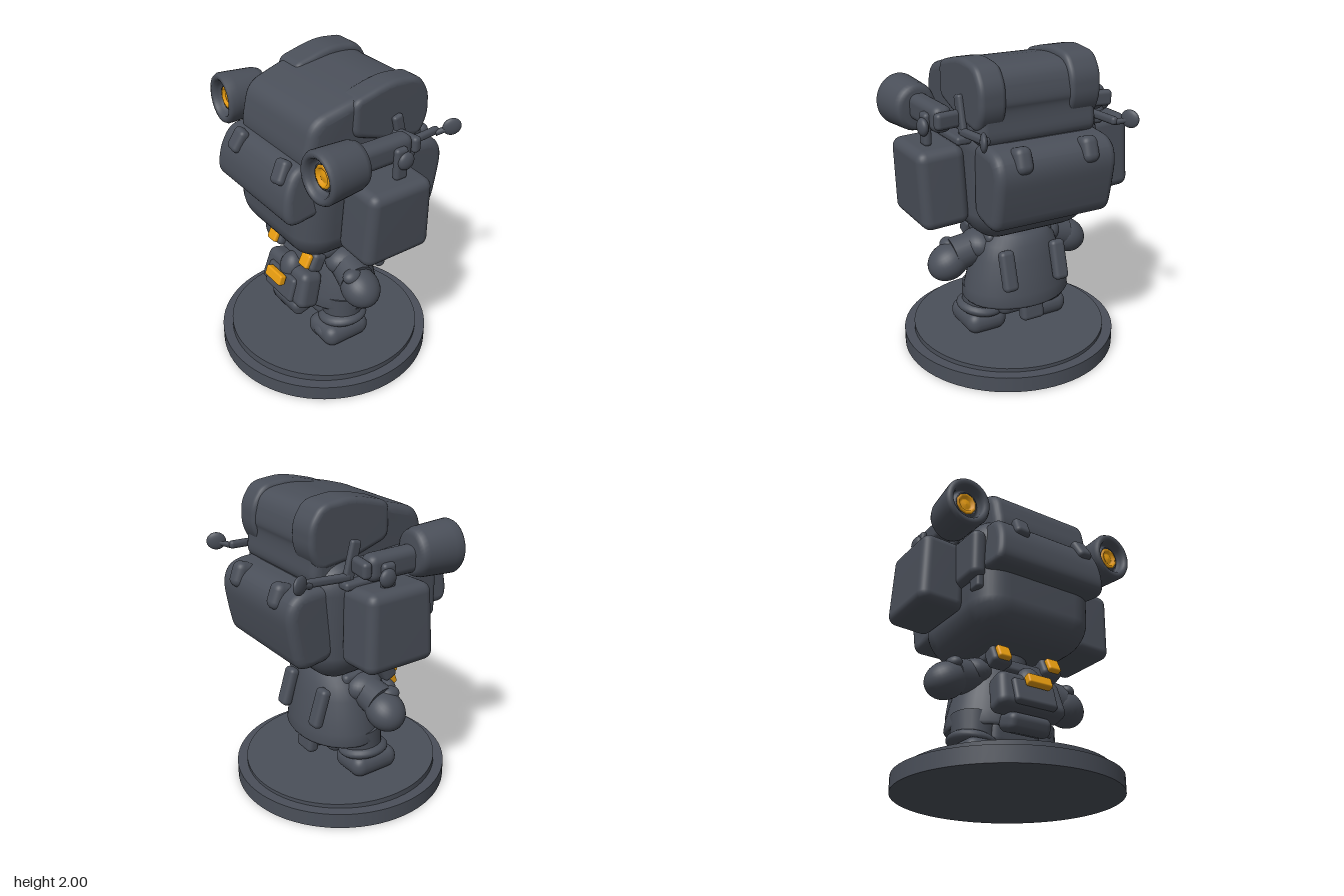
import * as THREE from 'three';
import { mergeVertices } from 'three/addons/utils/BufferGeometryUtils.js';
import { RoundedBoxGeometry } from 'three/addons/geometries/RoundedBoxGeometry.js';

export function createModel() {
  const model = new THREE.Group();
  model.name = 'figurine';
  const slate = new THREE.MeshStandardMaterial({ color: 0x4a4f59 });
  slate.name = 'slate grey';
  const amber = new THREE.MeshStandardMaterial({ color: 0xeda010 });
  amber.name = 'amber';

  function add(name, geo, pos = [0, 0, 0], rot = [0, 0, 0], mat = slate) {
    const mesh = new THREE.Mesh(geo, mat);
    mesh.name = name;
    mesh.position.set(...pos);
    mesh.rotation.set(...rot);
    model.add(mesh);
    return mesh;
  }
  // Welds a geometry, optionally bends it by a rule, and smooths it
  function smooth(geo, rule) {
    geo.deleteAttribute('uv');
    geo.deleteAttribute('normal');
    const g = mergeVertices(geo, 1e-4);
    const p = g.attributes.position, v = new THREE.Vector3();
    for (let i = 0; rule && i < p.count; i++) {
      rule(v.fromBufferAttribute(p, i));
      p.setXYZ(i, v.x, v.y, v.z);
    }
    g.computeVertexNormals();
    return g;
  }
  // Soft box
  const box = (name, size, r, pos, rot, mat, rule) =>
    add(name, smooth(new RoundedBoxGeometry(...size, 4, r), rule), pos, rot, mat);
  // Soft slab: a side outline of [z, y] points, widened along x
  function slab(name, pts, width, r, x, rule) {
    const shape = new THREE.Shape();
    pts.forEach((q, i) => {
      const c = new THREE.Vector2(...q);
      const toward = (k) => {
        const d = new THREE.Vector2(...pts[(i + k + pts.length) % pts.length]).sub(c);
        return d.setLength(Math.min(r, d.length() * 0.48)).add(c);
      };
      const a = toward(-1), b = toward(1);
      if (i) shape.lineTo(a.x, a.y); else shape.moveTo(a.x, a.y);
      shape.quadraticCurveTo(c.x, c.y, b.x, b.y);
    });
    const bevel = r * 0.6;
    const geo = new THREE.ExtrudeGeometry(shape, {
      depth: width - 2 * bevel, bevelThickness: bevel, bevelSize: bevel,
      bevelOffset: -bevel, bevelSegments: 5, curveSegments: 6,
    });
    geo.translate(0, 0, bevel - width / 2).rotateY(-Math.PI / 2);
    return add(name, smooth(geo, rule), [x, 0, 0]);
  }
  // Tapered rod from a to b
  function rod(name, a, b, r1, r2) {
    const A = new THREE.Vector3(...a), B = new THREE.Vector3(...b), d = B.clone().sub(A);
    const m = add(name, new THREE.CylinderGeometry(r2, r1, d.length(), 20), A.clone().add(B).multiplyScalar(0.5).toArray());
    m.quaternion.setFromUnitVectors(new THREE.Vector3(0, 1, 0), d.normalize());
    return m;
  }
  function ball(name, size, pos, rot) {
    const m = add(name, new THREE.SphereGeometry(1, 28, 18), pos, rot);
    m.scale.set(...size);
    return m;
  }
  const lathe = (pts, n = 40) => new THREE.LatheGeometry(pts.map((p) => new THREE.Vector2(...p)), n);

  // Stand
  add('standBase', new THREE.CylinderGeometry(0.7, 0.7, 0.1, 72), [0, 0.05, 0]);
  add('standTop', new THREE.CylinderGeometry(0.635, 0.635, 0.1, 72), [0, 0.086, 0], [-0.02, 0, 0]);

  // Legs and boots
  for (const [x, s] of [[-0.25, -1], [0.21, 1]]) {
    box('boot', [0.28, 0.15, 0.34], 0.07, [x, 0.2, 0.03]);
    ball('bootToe', [0.135, 0.07, 0.13], [x, 0.205, 0.08]);
    ball('trouserCuff', [0.155, 0.06, 0.165], [x + s * 0.005, 0.285, 0], [0, 0, s * 0.15]);
    rod('leg', [x, 0.26, 0], [x - s * 0.02, 0.44, -0.02], 0.125, 0.15);
  }
  box('pelvis', [0.36, 0.18, 0.34], 0.06, [-0.02, 0.34, -0.03]);
  box('coatTail', [0.16, 0.14, 0.08], 0.03, [-0.02, 0.32, -0.27], [0.15, 0, 0]);

  // Coat and neck
  const coat = add('coat', lathe([[0, 0.4], [0.32, 0.38], [0.35, 0.37], [0.365, 0.39], [0.355, 0.46],
    [0.33, 0.56], [0.295, 0.67], [0.26, 0.76], [0.21, 0.82], [0.13, 0.85], [0, 0.86]]), [-0.015, 0, -0.07]);
  coat.scale.z = 0.76;
  rod('neck', [-0.01, 0.78, -0.03], [-0.01, 0.95, -0.03], 0.15, 0.14);

  // Chest harness
  box('chestBand', [0.3, 0.09, 0.06], 0.025, [-0.015, 0.74, 0.19], [-0.35, 0, 0]);
  for (const x of [-0.2, 0.165]) {
    box('strapLoop', [0.14, 0.13, 0.1], 0.03, [x, 0.775, 0.2], [-0.45, 0, 0]);
    box('strapBuckle', [0.09, 0.095, 0.05], 0.015, [x, 0.79, 0.25], [-0.45, 0, 0], amber);
    box('shoulderStrap', [0.11, 0.07, 0.34], 0.03, [x, 0.8, 0.03], [-0.05, 0, 0]);
    box('backStrap', [0.1, 0.26, 0.07], 0.03, [x, 0.64, -0.3], [0.3, 0, 0]);
  }

  // Front pouch
  box('pouch', [0.46, 0.25, 0.16], 0.05, [-0.025, 0.545, 0.235], [-0.28, 0, 0], slate,
    (v) => { v.x *= 1 - 0.5 * v.y; });
  box('pouchPanel', [0.3, 0.17, 0.06], 0.025, [-0.025, 0.54, 0.315], [-0.28, 0, 0]);
  ball('pouchFlap', [0.08, 0.1, 0.07], [-0.015, 0.64, 0.25], [-0.28, 0, 0]);
  box('pouchBuckle', [0.17, 0.07, 0.05], 0.012, [-0.025, 0.605, 0.365], [-0.35, 0, 0], amber);
  box('lowerPocket', [0.3, 0.12, 0.16], 0.045, [-0.03, 0.375, 0.23], [0.3, 0, 0]);

  // Arms and mittens
  for (const s of [-1, 1]) {
    ball('shoulder', [0.11, 0.095, 0.13], [s * 0.24 - 0.015, 0.73, 0]);
    rod('sleeve', [s * 0.22 - 0.015, 0.72, 0], [s * 0.4 - 0.015, 0.67, 0.02], 0.1, 0.115);
    ball('mitten', [0.14, 0.115, 0.125], [s * 0.44 - 0.015, 0.635, 0.02], [0, 0, s * -0.5]);
    ball('thumb', [0.05, 0.045, 0.065], [s * 0.42 - 0.015, 0.73, 0.07], [0, 0, s * -0.4]);
  }

  // Head
  box('head', [0.89, 0.8, 0.85], 0.2, [-0.01, 1.27, -0.005], [-0.03, 0, 0], slate, (v) => {
    const k = Math.max(0, -v.y - 0.1);
    v.x *= 1 - 0.4 * k;
    v.z *= 1 - 0.25 * k;
  });
  slab('browPocket', [[0.2, 1.28], [0.49, 1.235], [0.535, 1.3], [0.515, 1.46], [0.44, 1.59], [0.2, 1.6]],
    0.8, 0.07, -0.01, (v) => { v.x *= 1 - 0.25 * (v.y - 1.3); });
  box('browSide', [0.1, 0.32, 0.5], 0.045, [-0.44, 1.36, 0.12]);
  box('cheekStrap', [0.05, 0.3, 0.1], 0.02, [-0.425, 1.28, 0.3]);
  for (const x of [-0.22, 0.25]) {
    box('browClip', [0.105, 0.15, 0.07], 0.03, [x, 1.54, 0.47], [-0.5, 0, x * 0.6]);
  }

  // Hat with two raised side flaps
  slab('hat', [[0.36, 1.52], [0.4, 1.6], [0.34, 1.85], [0.08, 1.925], [-0.2, 1.965], [-0.4, 1.94],
    [-0.45, 1.76], [-0.425, 1.7], [-0.45, 1.5]], 0.78, 0.09, 0.025, (v) => {
    v.x *= 1 - 0.22 * Math.max(0, v.z);
  });
  for (const [x, w, dy] of [[-0.265, 0.21, 0], [0.34, 0.17, -0.015]]) {
    slab('hatFlap', [[0.09, 1.72], [0.09, 1.935], [-0.1, 1.985], [-0.2, 2.0], [-0.38, 1.98], [-0.455, 1.87],
      [-0.46, 1.72], [-0.4, 1.6], [-0.15, 1.64]], w, 0.055, x).position.y = dy;
  }
  box('flapSlit', [0.14, 0.13, 0.022], 0.008, [0.342, 1.902, -0.11], [-0.3, 0, -0.05], amber);

  // Back pack
  slab('backPack', [[-0.3, 1.06], [-0.56, 1.02], [-0.6, 1.2], [-0.63, 1.4], [-0.56, 1.51], [-0.3, 1.53]],
    0.8, 0.09, 0.005);
  for (const x of [-0.21, 0.23]) {
    box('backPackClip', [0.11, 0.16, 0.14], 0.045, [x, 1.45, -0.56], [0.35, 0, 0]);
  }

  // Side packs
  for (const [x, y, z] of [[-0.565, 1.29, -0.07], [0.56, 1.24, -0.045]]) {
    box('sidePack', [0.3, 0.48, 0.46], 0.06, [x, y, z], [0, 0, -0.045], slate,
      (v) => { v.z *= 1 - 0.2 * v.y; });
  }

  // Headlamps, their brackets and rear paddles
  const lampProfile = [[0, -0.15], [0.1, -0.15], [0.125, -0.135], [0.137, -0.1], [0.148, 0.08], [0.15, 0.125],
    [0.14, 0.145], [0.122, 0.15], [0.108, 0.14], [0.1, 0.115], [0.098, 0.08], [0.085, 0.075], [0.075, 0.1],
    [0.064, 0.1], [0.06, 0.06], [0, 0.055]];
  const bulbProfile = [[0.068, 0.085], [0.066, 0.105], [0.05, 0.11], [0.042, 0.09], [0.03, 0.095], [0, 0.1]];
  for (const [s, x, y, z] of [[-1, -0.54, 1.665, 0.255], [1, 0.545, 1.625, 0.295]]) {
    for (const [name, profile, n, mat] of [['lamp', lampProfile, 36, slate], ['bulb', bulbProfile, 10, amber]]) {
      const m = add(name, lathe(profile, n).rotateX(Math.PI / 2), [x, y, z], [0, s * 0.05, 0], mat);
      m.scale.y = 1.09;
    }
    box('lampArm', [0.125, 0.16, 0.42], 0.05, [s * 0.53, 1.635, 0]);
    box('lampBracket', [0.2, 0.1, 0.06], 0.025, [s * 0.5, 1.64, -0.22], [0, s * 0.15, 0]);
    box('bracketPlate', [0.04, 0.24, 0.07], 0.018, [s * 0.435, 1.66, -0.23], [0.25, 0, 0]);
    box('bracketFoot', [0.1, 0.05, 0.3], 0.02, [s * 0.45, 1.53, -0.16]);
    box('packPost', [0.05, 0.2, 0.09], 0.024, [s * 0.6, 1.57, -0.1]);
    ball('postKnob', [0.03, 0.055, 0.055], [s * 0.625, 1.59, -0.12]);
    box('paddleArm', [0.045, 0.05, 0.3], 0.02, [s * 0.43, 1.575, -0.39], [0.05, s * 0.05, 0]);
    rod('paddleStem', [s * 0.435, 1.57, -0.51], [s * 0.475, 1.6, -0.6], 0.02, 0.016);
    ball('paddle', [0.022, 0.055, 0.06], [s * 0.48, 1.605, -0.6], [0, s * -0.4, 0]);
  }
  return model;
}
